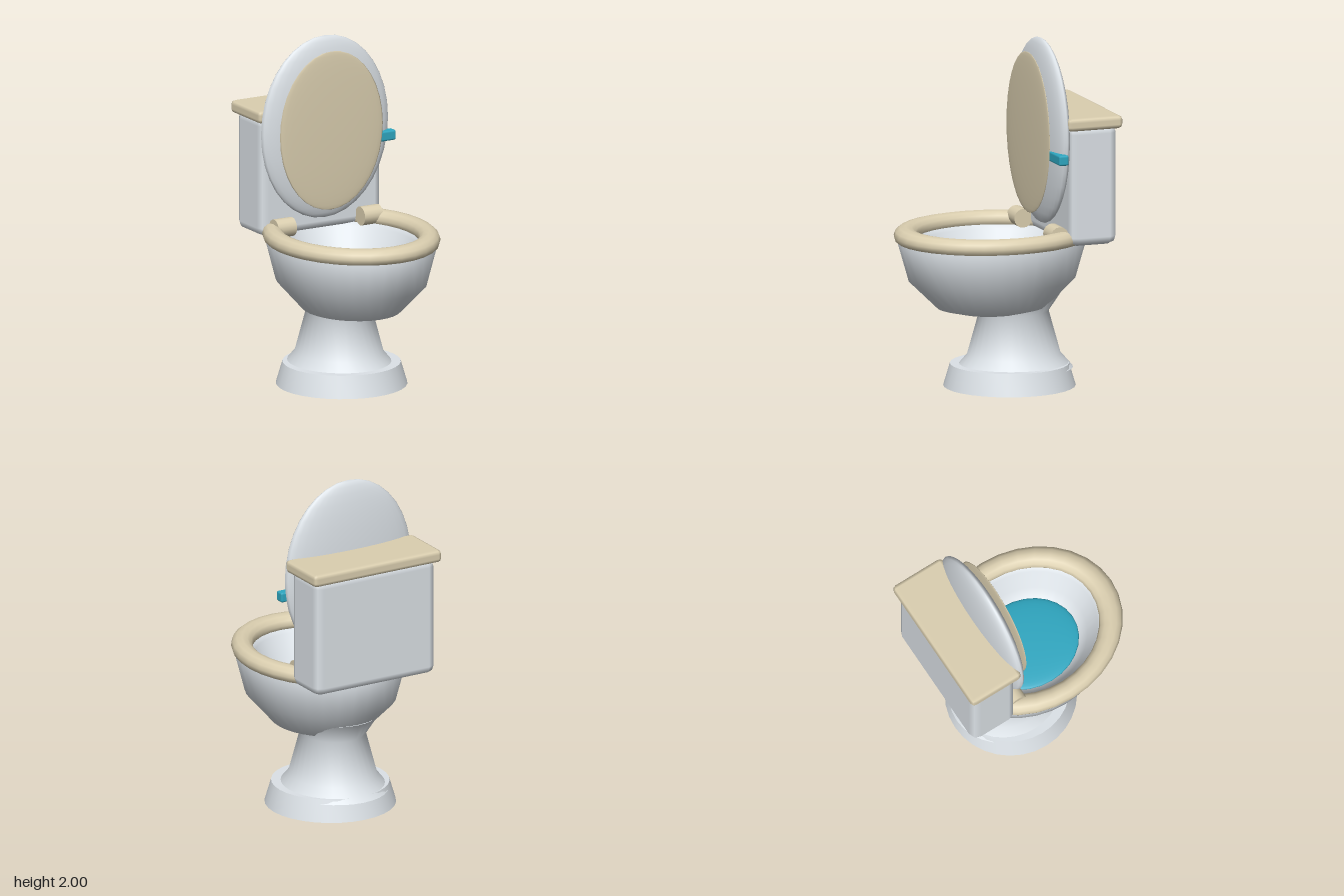
import * as THREE from 'three';
import { toCreasedNormals } from 'three/addons/utils/BufferGeometryUtils.js';
import { RoundedBoxGeometry } from 'three/addons/geometries/RoundedBoxGeometry.js';

export function createModel() {
  const group = new THREE.Group();
  const paint = (name, color) => {
    const m = new THREE.MeshStandardMaterial({ color });
    m.name = name;
    return m;
  };
  const porcelain = paint('porcelain', 0xdde3e8);
  const cream = paint('cream', 0xdbcfb0);
  const teal = paint('teal', 0x2fa8c2);

  const add = (name, geometry, material, x, y, z) => {
    const mesh = new THREE.Mesh(geometry, material);
    mesh.name = name;
    mesh.position.set(x, y, z);
    group.add(mesh);
    return mesh;
  };

  // Oval turned shape: profile of [radius, height], narrowed across x
  const oval = (profile, narrow, crease) => {
    const points = profile.map(([r, y]) => new THREE.Vector2(r, y));
    const g = new THREE.LatheGeometry(points, 32);
    g.scale(narrow, 1, 1);
    return toCreasedNormals(g, crease);
  };
  const ellipsoid = (rx, ry, rz) => new THREE.SphereGeometry(1, 28, 18).scale(rx, ry, rz);

  // Foot and pedestal
  add('base', oval([[0, 0], [0.378, 0], [0.34, 0.128], [0, 0.128]], 0.99, 0.9), porcelain, 0, 0, -0.073);
  add('pedestal', oval([[0, 0.1], [0.34, 0.1], [0.27, 0.18], [0.2, 0.43], [0.28, 0.55], [0, 0.55]], 0.92, 0.9),
    porcelain, 0, 0, -0.1);

  // Bowl: outer wall, over the rim, then down the inside
  add('bowl', oval([
    [0, 0.43], [0.2, 0.435], [0.32, 0.465], [0.485, 0.625], [0.55, 0.85],
    [0.54, 0.875], [0.45, 0.875], [0.42, 0.84], [0.36, 0.72], [0.29, 0.64], [0, 0.61],
  ], 0.85, 1), porcelain, 0, 0, 0.035);
  add('water', ellipsoid(0.264, 0.025, 0.31), teal, 0, 0.665, 0.035);

  // Seat ring with its two hinge barrels
  const ring = new THREE.TorusGeometry(0.5, 0.07, 12, 32).rotateX(-Math.PI / 2).scale(0.85, 0.75, 1);
  add('seat', ring, cream, 0, 0.884, 0.035);
  for (const side of [-1, 1]) {
    const barrel = new THREE.CylinderGeometry(0.055, 0.055, 0.12, 16).rotateZ(Math.PI / 2);
    add(side > 0 ? 'leftHinge' : 'rightHinge', barrel, cream, side * 0.285, 0.91, -0.245);
  }

  // Raised cover with its inner panel
  add('cover', ellipsoid(0.42, 0.535, 0.071), porcelain, 0, 1.465, -0.264);
  add('coverPanel', ellipsoid(0.34, 0.465, 0.016), cream, 0, 1.457, -0.187);

  // Water tank, tank lid and flush handle
  add('tank', new RoundedBoxGeometry(0.8, 0.7, 0.29, 1, 0.05), porcelain, 0, 1.2, -0.438);
  add('tankLid', new RoundedBoxGeometry(0.85, 0.075, 0.335, 1, 0.025), cream, 0, 1.563, -0.438);
  add('flushHandle', new RoundedBoxGeometry(0.2, 0.06, 0.06, 1, 0.012), teal, 0.342, 1.367, -0.236);

  return group;
}
